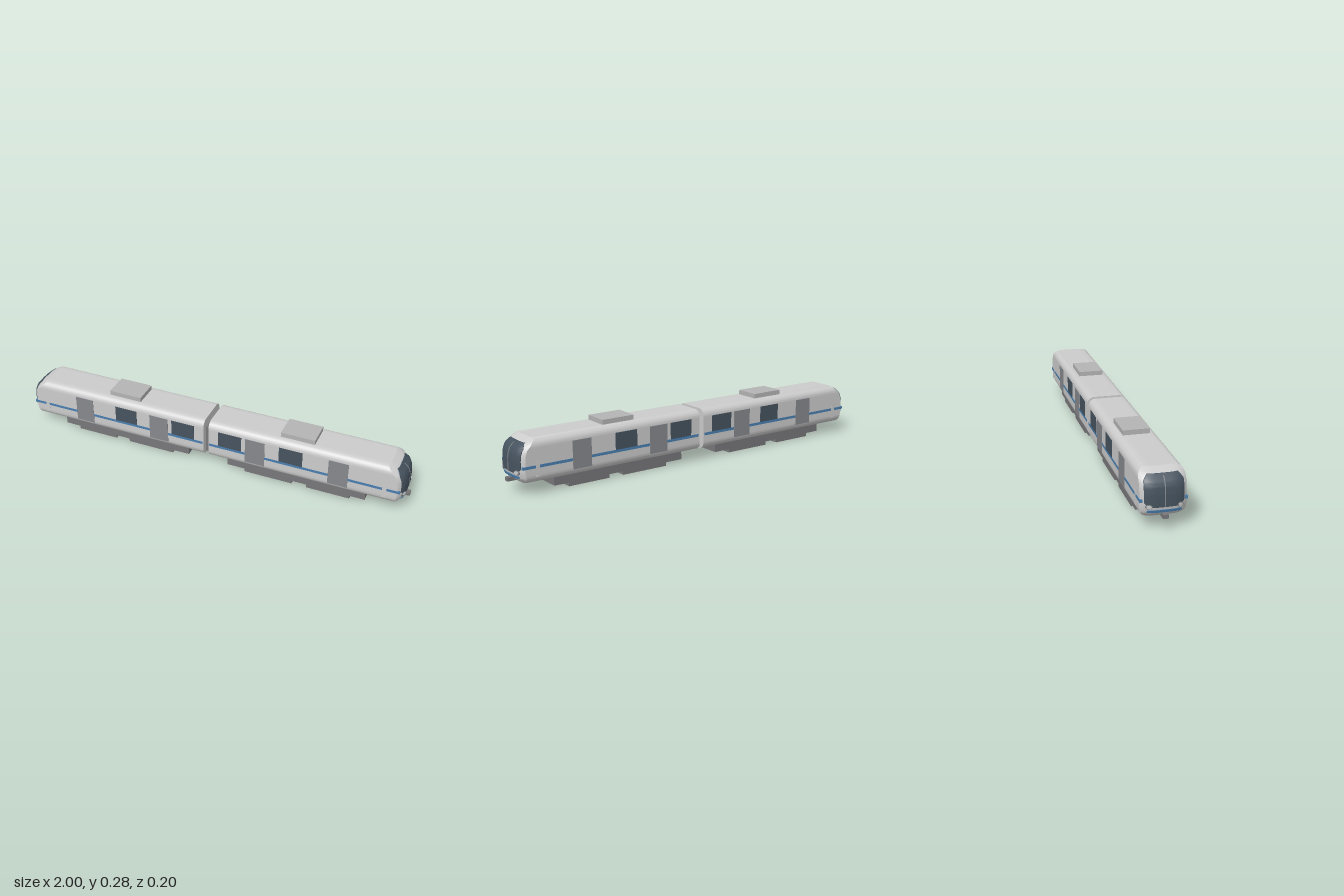
import * as THREE from 'three';
import { toCreasedNormals } from 'three/addons/utils/BufferGeometryUtils.js';

const paint = (color) => new THREE.MeshStandardMaterial({ color });
const MAT = {
  body: paint(0xcccccc), door: paint(0x85888c), glass: paint(0x46535f),
  stripe: paint(0x4a7fb0), under: paint(0x77777a), roof: paint(0xb4b4b4), pale: paint(0xd4d4d4),
};

// Side profile of the nose: [y, x], bottom to top
const PROFILE = [[0.055, 0.95], [0.065, 0.966], [0.08, 0.979], [0.105, 0.985], [0.16, 0.984],
  [0.19, 0.98], [0.213, 0.97], [0.237, 0.942], [0.255, 0.905]];

// Nose surface: x for a given height and sideways position
function noseX(y, z) {
  let i = 0;
  while (i < PROFILE.length - 2 && y > PROFILE[i + 1][0]) i++;
  const [y0, x0] = PROFILE[i], [y1, x1] = PROFILE[i + 1];
  return x0 + (x1 - x0) * (y - y0) / (y1 - y0) - 0.03 * Math.pow(Math.abs(z) / 0.1, 4);
}

// Closed solid whose front follows the nose; outline is counter-clockwise in (-z, y).
// backX(x) gives where its rim ends.
function noseSolid(outline, offset, backX, rings = 10) {
  const pts = [];
  outline.forEach((p, i) => {
    const q = outline[(i + 1) % outline.length];
    const n = Math.max(1, Math.ceil(p.distanceTo(q) / 0.012));
    if (p.distanceTo(q) > 1e-5) for (let k = 0; k < n; k++) pts.push(p.clone().lerp(q, k / n));
  });
  const c = new THREE.Vector2();
  const box = new THREE.Box2().setFromPoints(pts);
  box.getCenter(c);
  const pos = [], index = [], n = pts.length;
  // rings from the centre outward, then the rim's back edge, then the back centre
  for (let r = 0; r <= rings + 2; r++) {
    const t = r <= rings ? r / rings : r === rings + 1 ? 1 : 0;
    for (const p of pts) {
      const u = c.x + (p.x - c.x) * t, y = c.y + (p.y - c.y) * t;
      const x = noseX(y, u) + offset;
      pos.push(r <= rings ? x : backX(x), y, -u);
    }
  }
  for (let r = 0; r < rings + 2; r++) {
    for (let i = 0; i < n; i++) {
      const j = (i + 1) % n, a = r * n + i, b = r * n + j, d = a + n, e = b + n;
      if (r > 0) index.push(a, e, b);
      if (r < rings + 1) index.push(a, d, e);
    }
  }
  const g = new THREE.BufferGeometry();
  g.setAttribute('position', new THREE.Float32BufferAttribute(pos, 3));
  g.setIndex(index);
  return toCreasedNormals(g, 0.45);
}

const rect = (u0, u1, y0, y1) => [[u0, y0], [u1, y0], [u1, y1], [u0, y1]].map((p) => new THREE.Vector2(...p));

function roundedRect(w, y0, y1, r) {
  const s = new THREE.Shape();
  s.absarc(w - r, y0 + r, r, -Math.PI / 2, 0);
  s.absarc(w - r, y1 - r, r, 0, Math.PI / 2);
  s.absarc(r - w, y1 - r, r, Math.PI / 2, Math.PI);
  s.absarc(r - w, y0 + r, r, Math.PI, Math.PI * 1.5);
  return s.getPoints(6);
}

function add(parent, name, geometry, material) {
  const mesh = new THREE.Mesh(geometry, material);
  mesh.name = name;
  parent.add(mesh);
}

// Box given by its limits
function addBox(parent, name, material, [x0, x1], [y0, y1], [z0, z1]) {
  const g = new THREE.BoxGeometry(x1 - x0, y1 - y0, z1 - z0);
  g.translate((x0 + x1) / 2, (y0 + y1) / 2, (z0 + z1) / 2);
  add(parent, name, g, material);
}

function createCar() {
  const car = new THREE.Group();
  const thin = (x) => x - 0.012;

  // Body shell with shaped nose
  add(car, 'bodyShell', noseSolid(roundedRect(0.1, 0.055, 0.255, 0.036), 0, () => 0.013, 16), MAT.body);

  // Windscreen, centre pillar, nose stripe and headlights
  const screen = [[-0.068, 0.105], [0.068, 0.105], [0.085, 0.125], [0.085, 0.215], [0.066, 0.237],
    [-0.066, 0.237], [-0.085, 0.215], [-0.085, 0.125]].map((p) => new THREE.Vector2(...p));
  add(car, 'windscreen', noseSolid(screen, 0.003, thin), MAT.glass);
  add(car, 'windscreenPillar', noseSolid(rect(-0.002, 0.002, 0.108, 0.23), 0.005, thin, 12), MAT.door);
  add(car, 'noseStripe', noseSolid(rect(-0.073, 0.073, 0.08, 0.092), 0.003, thin), MAT.stripe);
  for (const s of [-1, 1]) {
    for (const [name, k, off, mat] of [['headlightRim', 1, 0.005, MAT.door], ['headlight', 0.72, 0.007, MAT.pale]]) {
      const e = new THREE.EllipseCurve(s * 0.067, 0.108, 0.014 * k, 0.011 * k);
      add(car, name, noseSolid(e.getPoints(20).slice(0, 20), off, thin, 4), mat);
    }
  }

  // Side fittings on both flanks
  for (const s of [-1, 1]) {
    const z = (d) => (s > 0 ? [0.09, 0.1 + d] : [-0.1 - d, -0.09]);
    for (const x of [[0.064, 0.185], [0.377, 0.495]]) addBox(car, 'sideWindow', MAT.glass, x, [0.137, 0.218], z(0.0015));
    for (const x of [[0.205, 0.305], [0.623, 0.72]]) addBox(car, 'door', MAT.door, x, [0.084, 0.218], z(0.002));
    addBox(car, 'sideStripe', MAT.stripe, [0.018, 0.885], [0.124, 0.137], z(0.001));
    addBox(car, 'cabStripe', MAT.stripe, [0.905, 0.968], [0.124, 0.137], z(0.0015));
    addBox(car, 'cabPanel', MAT.pale, [0.885, 0.905], [0.085, 0.15], z(0.001));
  }

  // Roof unit, underframe, bogies and coupler
  addBox(car, 'roofUnit', MAT.roof, [0.37, 0.54], [0.25, 0.278], [-0.062, 0.062]);
  addBox(car, 'underframe', MAT.under, [0.105, 0.805], [0.018, 0.06], [-0.075, 0.075]);
  for (const x of [[0.195, 0.44], [0.515, 0.73]]) addBox(car, 'bogie', MAT.under, x, [0, 0.02], [-0.073, 0.073]);
  addBox(car, 'coupler', MAT.under, [0.94, 1], [0.058, 0.076], [-0.012, 0.012]);
  return car;
}

export function createModel() {
  const model = new THREE.Group();
  model.name = 'train';
  for (const [i, name] of ['leftCar', 'rightCar'].entries()) {
    const car = createCar();
    car.name = name;
    car.rotation.y = i * Math.PI;
    model.add(car);
  }
  // Gangway between the cars
  addBox(model, 'gangway', MAT.under, [-0.016, 0.016], [0.062, 0.208], [-0.067, 0.067]);
  return model;
}
